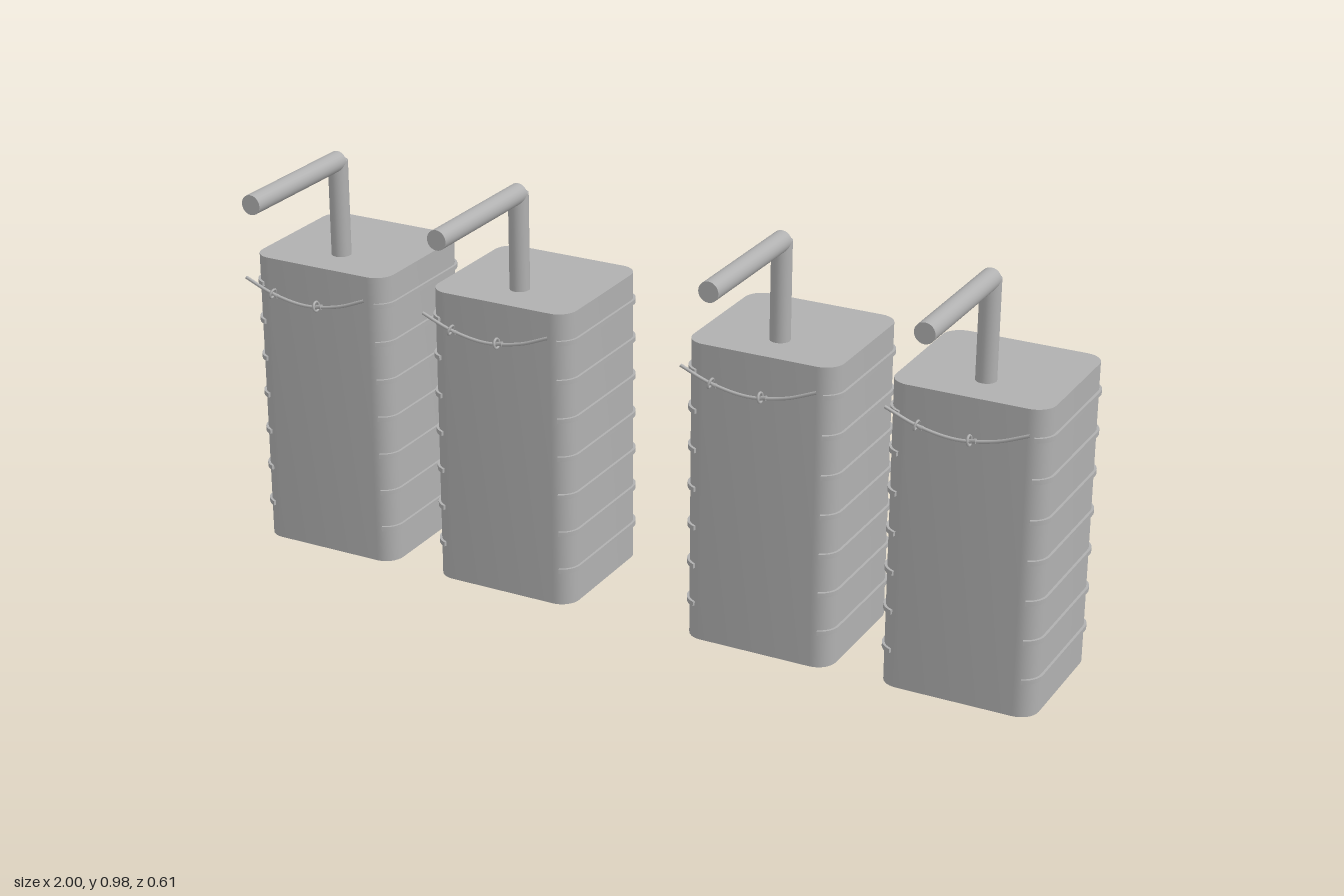
import * as THREE from 'three';
import { toCreasedNormals } from 'three/addons/utils/BufferGeometryUtils.js';

const HALF_W = 0.182, HALF_D = 0.173, RADIUS = 0.045, MID_Z = -0.115;

const grey = new THREE.MeshStandardMaterial({ color: 0xb0b0b0 });
grey.name = 'plain grey';

function part(name, geometry, parent, x = 0, y = 0, z = 0) {
  const mesh = new THREE.Mesh(geometry, grey);
  mesh.name = name;
  mesh.position.set(x, y, z);
  parent.add(mesh);
  return mesh;
}

// Rounded outline, running from the front left corner round the back.
// trim cuts the start and end short on the two front corners.
function outline(halfW, halfH, r, trim = 0) {
  const points = [];
  const corners = [[1, -1], [1, 1], [-1, 1], [-1, -1]];
  corners.forEach(([sx, sy], i) => {
    const from = -Math.PI / 2 + i * Math.PI / 2 + (i === 0 ? trim : 0);
    const to = i * Math.PI / 2 - (i === 3 ? trim : 0);
    for (let k = 0; k <= 8; k++) {
      const a = from + (to - from) * k / 8;
      points.push(new THREE.Vector2(
        sx * (halfW - r) + r * Math.cos(a), sy * (halfH - r) + r * Math.sin(a)));
    }
  });
  return points;
}

function extrude(points, depth) {
  const g = new THREE.ExtrudeGeometry(new THREE.Shape(points), { depth, bevelEnabled: false });
  return toCreasedNormals(g, 0.6);
}

const bodyGeometry = extrude(outline(HALF_W, HALF_D, RADIUS), 0.725).rotateX(-Math.PI / 2);

// Band: strip round the sides and back, open across the front
const lip = 0.006, trim = 0.35;
const bandGeometry = extrude([
  ...outline(HALF_W + lip, HALF_D + lip, RADIUS + lip, trim),
  ...outline(HALF_W - 0.004, HALF_D - 0.004, RADIUS - 0.004, trim).reverse(),
], 0.011).rotateX(-Math.PI / 2);

const uprightGeometry = new THREE.CylinderGeometry(0.0235, 0.0235, 0.237, 24);
const spoutGeometry = new THREE.CylinderGeometry(0.0235, 0.0235, 0.352, 24).rotateX(Math.PI / 2);
const plateGeometry = extrude(outline(0.125, 0.066, 0.015), 0.012);

// Sagging cord held in front of the body
const cordCurve = new THREE.CatmullRomCurve3([
  [-0.163, 0.690], [-0.09, 0.662], [0, 0.648], [0.09, 0.662], [0.163, 0.690],
].map(([x, y]) => new THREE.Vector3(x, y, 0.112)));
const cordGeometry = new THREE.TubeGeometry(cordCurve, 32, 0.004, 8);
const knotGeometry = new THREE.TorusGeometry(0.011, 0.003, 6, 16).rotateY(Math.PI / 2);
const barbGeometry = new THREE.ConeGeometry(0.006, 0.03, 8).rotateZ(Math.PI / 2);

function createUnit() {
  const unit = new THREE.Group();
  part('body', bodyGeometry, unit, 0, 0, MID_Z);
  for (let i = 0; i < 7; i++) {
    part('band', bandGeometry, unit, 0, 0.082 + i * 0.0948, MID_Z);
  }

  // Bent pipe
  part('uprightPipe', uprightGeometry, unit, 0, 0.8385, -0.0465);
  part('forwardPipe', spoutGeometry, unit, 0, 0.9555, 0.13);

  // Cord with two knots
  part('cord', cordGeometry, unit);
  for (const [x, y, tilt] of [[-0.09, 0.662, -0.3], [0.03, 0.652, 0.1]]) {
    part('knot', knotGeometry, unit, x, y, 0.112).rotation.z = tilt;
    part('barb', barbGeometry, unit, x, y, 0.112).rotation.z = tilt;
  }

  // Back plate with small raised catches
  part('backPlate', plateGeometry, unit, 0, 0.613, -0.298);
  const catches = [
    [0.06, 0.568, 0.043, 0.012, 0.014],
    [-0.07, 0.568, 0.05, 0.012, 0.014],
    [-0.102, 0.617, 0.01, 0.032, 0.008],
    [0.1, 0.652, 0.022, 0.014, 0.008],
  ];
  for (const [x, y, w, h, d] of catches) {
    part('catch', new THREE.BoxGeometry(w, h, d), unit, x, y, -0.297 - d / 2 + 0.004);
  }
  return unit;
}

export function createModel() {
  const model = new THREE.Group();
  model.name = 'tankRow';
  [-0.813, -0.329, 0.329, 0.813].forEach((x) => {
    const unit = createUnit();
    unit.name = 'tank';
    unit.position.x = x;
    model.add(unit);
  });
  return model;
}
